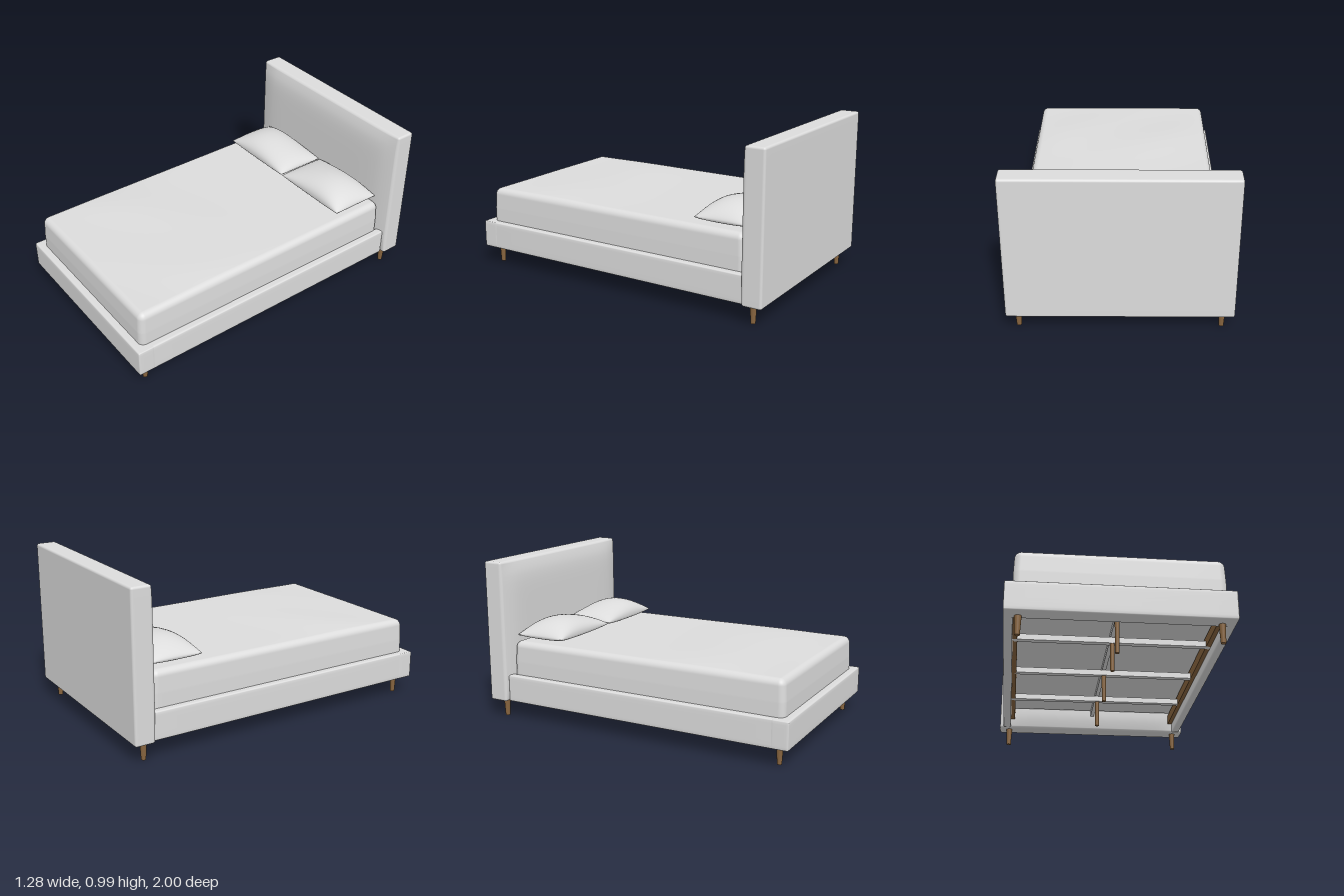
import * as THREE from 'three';
import { mergeVertices } from 'three/addons/utils/BufferGeometryUtils.js';

const fabric = new THREE.MeshStandardMaterial({ color: 0xdcdcdc });
fabric.name = 'light grey fabric';
const wood = new THREE.MeshStandardMaterial({ color: 0x88653f });
wood.name = 'brown wood';

// Move every vertex by a rule, then weld and smooth
function reshape(geometry, rule) {
  geometry.deleteAttribute('uv');
  geometry.deleteAttribute('normal');
  const pos = geometry.attributes.position;
  const p = new THREE.Vector3();
  for (let i = 0; i < pos.count; i++) {
    rule(p.fromBufferAttribute(pos, i));
    pos.setXYZ(i, p.x, p.y, p.z);
  }
  const welded = mergeVertices(geometry, 1e-5);
  welded.computeVertexNormals();
  return welded;
}

// Box with rounded edges and a fine grid, so its faces can be bulged
function softBox(min, max, r, n, bulge = () => {}) {
  const half = max.map((m, i) => (m - min[i]) / 2);
  const mid = new THREE.Vector3(...max.map((m, i) => (m + min[i]) / 2));
  const flat = 2 / 3;
  const inner = new THREE.Vector3();
  return reshape(new THREE.BoxGeometry(2, 2, 2, n, n, n), (p) => {
    ['x', 'y', 'z'].forEach((k, i) => {
      const t = Math.abs(p[k]), s = Math.sign(p[k]), core = half[i] - r;
      const v = t <= flat ? (t / flat) * core : core + ((t - flat) / (1 - flat)) * r;
      p[k] = s * v;
      inner[k] = s * Math.min(v, core);
    });
    p.sub(inner).setLength(r).add(inner);
    const unit = new THREE.Vector3(p.x / half[0], p.y / half[1], p.z / half[2]);
    p.add(mid);
    bulge(p, unit);
  });
}

// Plump cushion with thin seams and drawn-out corners; the peak leans towards +x
function pillowGeometry(halfW, halfD, up, down, lean) {
  return reshape(new THREE.BoxGeometry(2, 2, 2, 36, 1, 28), (p) => {
    const u = Math.sin(p.x * Math.PI / 2), v = Math.sin(p.z * Math.PI / 2);
    const fu = Math.max(0, 1 - u * u), fv = Math.max(0, 1 - v * v);
    const puff = Math.pow(fu, 0.6) * Math.pow(fv, 0.45) * (1 + lean * u * fu);
    p.set(
      u * halfW * (1 - 0.02 * fv),
      p.y > 0 ? up * puff : -down * Math.pow(fu * fv, 0.35),
      v * halfD * (1 - 0.025 * fu)
    );
  });
}

export function createModel() {
  const group = new THREE.Group();
  const add = (name, geometry, material, x = 0, y = 0, z = 0) => {
    const mesh = new THREE.Mesh(geometry, material);
    mesh.name = name;
    mesh.position.set(x, y, z);
    group.add(mesh);
  };
  const bar = (name, material, min, max) => add(name,
    new THREE.BoxGeometry(...max.map((m, i) => m - min[i])), material,
    ...max.map((m, i) => (m + min[i]) / 2));

  // Upholstered headboard, padded on its front
  add('headboard', softBox([-0.64, 0.108, -1], [0.64, 0.99, -0.878], 0.014, 30, (p, q) => {
    if (q.z > 0.7) p.z += 0.032 * (1 - q.x ** 10) * (1 - q.y ** 8);
  }), fabric);

  // Bed frame
  add('footRail', softBox([-0.616, 0.108, 0.893], [0.616, 0.277, 1], 0.01, 9), fabric);
  for (const s of [-1, 1]) {
    const a = s * 0.616, b = s * 0.565;
    add(s > 0 ? 'leftSideRail' : 'rightSideRail',
      softBox([Math.min(a, b), 0.108, -0.872], [Math.max(a, b), 0.277, 0.91], 0.01, 9), fabric);
  }

  // Mattress with softly rounded edges and a gently creased top
  add('mattress', softBox([-0.573, 0.232, -0.856], [0.573, 0.489, 0.955], 0.038, 54, (p, q) => {
    const taper = 1 - 0.008 * Math.max(0, q.y);
    p.x *= taper;
    p.z = 0.05 + (p.z - 0.05) * taper;
    if (q.y > 0.7) {
      const edge = (1 - q.x ** 4) * (1 - q.z ** 4);
      p.y += edge * (0.013 * Math.exp(-(((p.z - 0.45) / 0.35) ** 2))
        + 0.003 * Math.sin(7 * p.x + 9 * p.z) * Math.max(0, q.z + 0.3));
    }
  }), fabric);

  // Pair of pillows, each fullest towards its outer side
  for (const s of [-1, 1]) {
    add(s > 0 ? 'leftPillow' : 'rightPillow',
      pillowGeometry(0.264, 0.164, 0.09, 0.036, s * 0.25), fabric, s * 0.269, 0.525, -0.682);
  }

  // Slats and centre beam under the mattress
  for (const z of [-0.465, -0.003, 0.487]) {
    bar('crossSlat', fabric, [-0.567, 0.165, z - 0.018], [0.567, 0.2, z + 0.018]);
  }
  bar('centreBeam', fabric, [-0.012, 0.2, -0.88], [0.012, 0.235, 0.9]);

  // Ledger strips and corner blocks inside the rails
  for (const s of [-1, 1]) {
    const x = s * 0.553;
    bar('ledgerStrip', wood, [x - 0.014, 0.165, -0.88], [x + 0.014, 0.225, 0.9]);
    bar('cornerBlock', wood, [s * 0.515 - 0.05, 0.15, 0.87], [s * 0.515 + 0.05, 0.18, 0.897]);
  }

  // Tapered corner legs
  const cornerLeg = new THREE.CylinderGeometry(0.02, 0.014, 0.115, 20);
  for (const s of [-1, 1]) {
    add('frontLeg', cornerLeg, wood, s * 0.538, 0.0575, 0.922);
    add('backLeg', cornerLeg, wood, s * 0.575, 0.0575, -0.922);
  }

  // Straight support legs along the centre line
  const supportLeg = new THREE.CylinderGeometry(0.014, 0.012, 0.2, 20);
  for (const z of [0.74, 0.487, -0.003, -0.465]) add('supportLeg', supportLeg, wood, 0, 0.1, z);

  return group;
}
